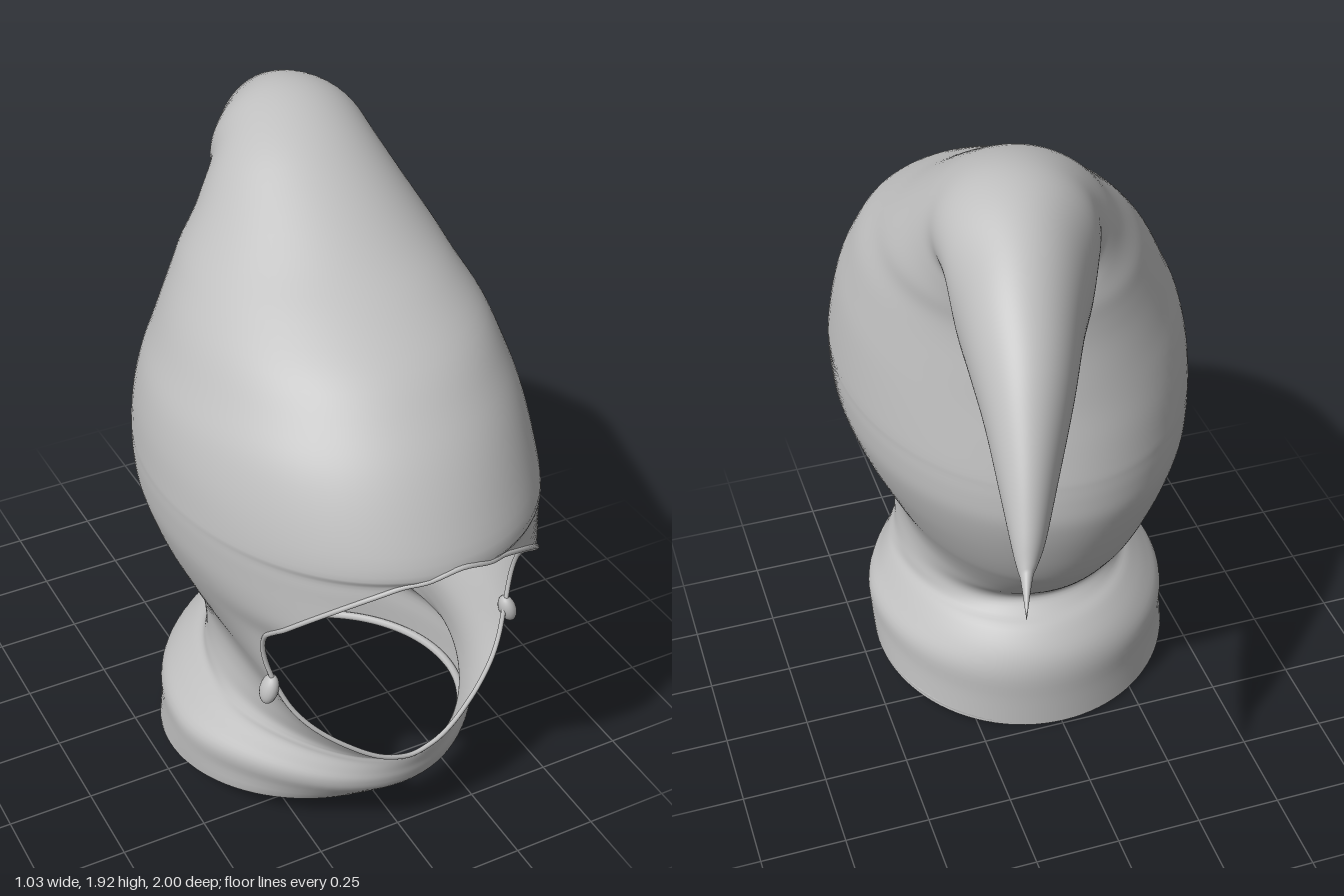
import * as THREE from 'three';
import { mergeVertices } from 'three/addons/utils/BufferGeometryUtils.js';

// Sections: front z, front y, face opening half width, back z, back y, half width, centre x
const COLLAR = [
  [0.70, 0.11, 0, -0.24, 0.00, 0.465, -0.007],
  [0.78, 0.19, 0, -0.24, 0.10, 0.467, -0.007],
  [0.80, 0.235, 0, -0.24, 0.20, 0.465, -0.007],
  [0.805, 0.27, 0, -0.22, 0.27, 0.425, -0.005],
  [0.81, 0.30, 0, -0.17, 0.33, 0.385, 0],
];
const FACE = [
  [0.81, 0.32, 0, -0.125, 0.355, 0.365, 0],
  [0.805, 0.35, 0.10, -0.09, 0.385, 0.352, 0],
  [0.785, 0.40, 0.18, -0.10, 0.415, 0.343, 0],
  [0.76, 0.45, 0.245, -0.145, 0.455, 0.337, 0],
  [0.735, 0.50, 0.295, -0.19, 0.50, 0.338, 0],
  [0.71, 0.55, 0.33, -0.235, 0.55, 0.35, 0],
  [0.69, 0.60, 0.352, -0.275, 0.60, 0.37, 0],
  [0.675, 0.65, 0.369, -0.31, 0.65, 0.394, 0],
  [0.665, 0.72, 0.385, -0.345, 0.72, 0.427, 0],
  [0.685, 0.80, 0.392, -0.375, 0.80, 0.463, 0],
  [0.77, 0.88, 0.38, -0.395, 0.87, 0.49, 0],
  [0.84, 0.95, 0.335, -0.405, 0.93, 0.507, 0],
  [0.92, 1.03, 0.24, -0.403, 0.99, 0.514, 0],
  [0.965, 1.075, 0.145, -0.398, 1.035, 0.515, 0],
  [1.00, 1.11, 0, -0.392, 1.07, 0.514, 0],
];
const CROWN = [
  [0.95, 1.22, 0, -0.37, 1.16, 0.503, 0],
  [0.88, 1.33, 0, -0.345, 1.25, 0.482, 0.005],
  [0.80, 1.42, 0, -0.325, 1.335, 0.45, 0.015],
  [0.70, 1.51, 0, -0.305, 1.42, 0.415, 0.025],
  [0.55, 1.595, 0, -0.295, 1.48, 0.375, 0.035],
  [0.40, 1.67, 0, -0.29, 1.53, 0.34, 0.05],
  [0.20, 1.79, 0, -0.285, 1.56, 0.285, 0.07],
  [0.05, 1.87, 0, -0.275, 1.575, 0.25, 0.085],
  [-0.10, 1.915, 0, -0.27, 1.57, 0.225, 0.11],
];
const TAIL = [
  [-0.23, 1.915, 0, -0.29, 1.53, 0.21, 0.125],
  [-0.36, 1.87, 0, -0.345, 1.415, 0.187, 0.15],
  [-0.50, 1.785, 0, -0.44, 1.40, 0.155, 0.185],
  [-0.65, 1.65, 0, -0.57, 1.355, 0.117, 0.222],
  [-0.78, 1.475, 0, -0.72, 1.265, 0.073, 0.268],
  [-0.86, 1.335, 0, -0.82, 1.215, 0.043, 0.299],
  [-0.893, 1.26, 0, -0.86, 1.207, 0.025, 0.315],
  [-0.91, 1.235, 0, -0.89, 1.20, 0.015, 0.325],
  [-0.99, 1.17, 0, -0.99, 1.17, 0, 0.355],
];
const ROWS = [...COLLAR, ...FACE, ...CROWN, ...TAIL];
const FACE_START = COLLAR.length;
const FACE_END = FACE_START + FACE.length - 1;
const STEPS = 4;
const COLS = 96;

// Last value: where the centre of a section lies between its back (0) and front (1).
// The opening is blended by its squared width, which rounds off its top and bottom.
ROWS.forEach((r) => {
  r.push(r[2] > 0 ? (0.31 - r[3]) / (r[0] - r[3]) : 0.5);
  r[2] *= r[2];
});

// Smooth blend of the section values at row position v
function section(v) {
  const i = Math.min(Math.floor(v), ROWS.length - 2);
  const t = v - i;
  const at = (k) => ROWS[Math.max(0, Math.min(ROWS.length - 1, k))];
  return ROWS[i].map((p1, k) => {
    const p0 = at(i - 1)[k], p2 = at(i + 1)[k], p3 = at(i + 2)[k];
    return p1 + 0.5 * t * (p2 - p0 + t * (2 * p0 - 5 * p1 + 4 * p2 - p3 + t * (3 * (p1 - p2) + p3 - p0)));
  });
}

// Point on the hood: u runs round from one edge of the face opening to the other
function hoodPoint(v, u) {
  const [fz, fy, w2, bz, by, a, cx, s] = section(v);
  const open = v > FACE_START && v < FACE_END;
  const t0 = open ? Math.asin(Math.min(0.97, Math.sqrt(Math.max(0, w2)) / a)) : 0;
  const t = t0 + u * 2 * (Math.PI - t0);
  const c = Math.cos(t);
  // The throat comes to a soft point at the front
  const { smoothstep } = THREE.MathUtils;
  const point = 0.25 * smoothstep(v, 0, 1) * (1 - smoothstep(v, 4, 9));
  const front = (q) => q * (1 + point * (q * q - 1));
  const k = c > 0 ? s + (1 - s) * front(c) / front(Math.cos(t0)) : s + s * c;
  return new THREE.Vector3(cx + a * Math.sin(t), by + (fy - by) * k, bz + (fz - bz) * k);
}

function hoodGeometry() {
  const pos = [], index = [];
  const rows = (ROWS.length - 1) * STEPS;
  for (let r = 0; r <= rows; r++) {
    for (let c = 0; c <= COLS; c++) {
      const p = hoodPoint(r / STEPS, c / COLS);
      pos.push(p.x, p.y, p.z);
      if (r < rows && c < COLS) {
        const i = r * (COLS + 1) + c, j = i + COLS + 1;
        index.push(i, i + 1, j, i + 1, j + 1, j);
      }
    }
  }
  const g = new THREE.BufferGeometry();
  g.setAttribute('position', new THREE.Float32BufferAttribute(pos, 3));
  g.setIndex(index);
  const merged = mergeVertices(g, 1e-5);
  merged.computeVertexNormals();
  return merged;
}

export function createModel() {
  const group = new THREE.Group();
  const cloth = new THREE.MeshStandardMaterial({ color: 0xbfbfbf, side: THREE.DoubleSide });
  cloth.name = 'grey cloth';
  const add = (name, geometry) => {
    const mesh = new THREE.Mesh(geometry, cloth);
    mesh.name = name;
    group.add(mesh);
    return mesh;
  };
  const rim = (name, points, radius) =>
    add(name, new THREE.TubeGeometry(new THREE.CatmullRomCurve3(points, true), 160, radius, 8, true));

  // Collar, head and drooping tail in one continuous skin
  add('hood', hoodGeometry());

  // Hem round the face opening
  const left = [], right = [];
  for (let v = FACE_START; v <= FACE_END; v += 0.5) {
    left.push(hoodPoint(v, 0));
    if (v > FACE_START && v < FACE_END) right.unshift(hoodPoint(v, 1));
  }
  rim('faceHem', [...left, ...right], 0.007);

  // Thick lip round the bottom of the collar
  const lip = [];
  for (let i = 0; i < 48; i++) {
    const p = hoodPoint(0, i / 48);
    p.x *= 0.972;
    p.z = 0.23 + (p.z - 0.23) * 0.972;
    p.y += 0.012;
    lip.push(p);
  }
  rim('collarLip', lip, 0.013);

  // Small folded tabs at the sides of the face opening
  for (const side of [1, -1]) {
    const tab = add(side > 0 ? 'leftTab' : 'rightTab', new THREE.SphereGeometry(1, 20, 14));
    tab.scale.set(0.024, 0.045, 0.03);
    tab.position.set(side * 0.375, 0.605, 0.675);
    tab.rotation.z = side * 0.3;
  }
  return group;
}
